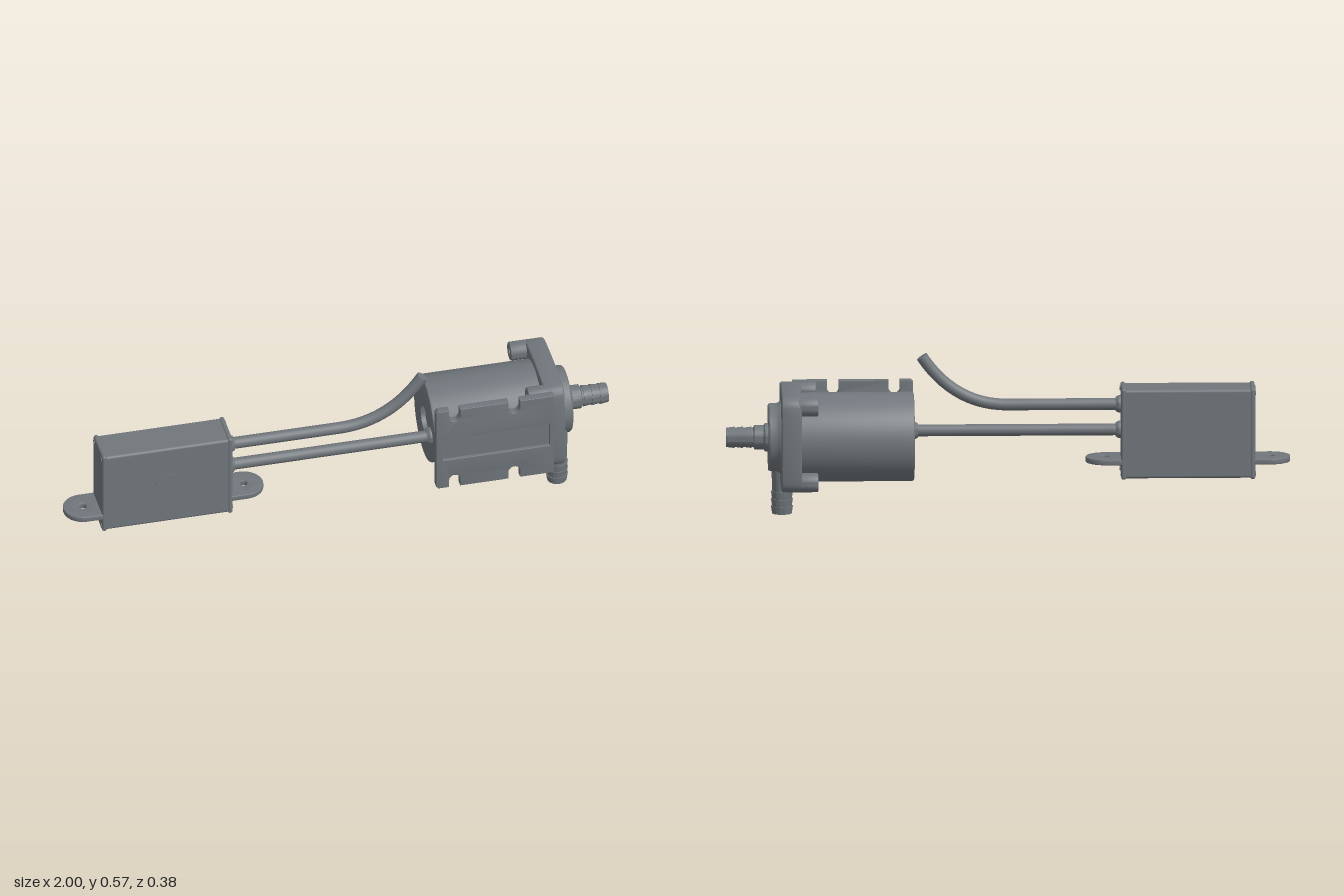
import * as THREE from 'three';
import { toCreasedNormals } from 'three/addons/utils/BufferGeometryUtils.js';
import { RoundedBoxGeometry } from 'three/addons/geometries/RoundedBoxGeometry.js';

const AXIS_Y = 0.29, AXIS_Z = -0.008, WIRE_Z = 0.095;
const darkGrey = new THREE.MeshStandardMaterial({ color: 0x70767b });

function add(parent, name, geometry, x = 0, y = 0, z = 0) {
  const mesh = new THREE.Mesh(geometry, darkGrey);
  mesh.name = name;
  mesh.position.set(x, y, z);
  parent.add(mesh);
  return mesh;
}

// Profile of [radius, height] turned round y, with sharp edges kept
function turned(profile, segments = 48) {
  const pts = profile.map(([r, h]) => new THREE.Vector2(r, h));
  return toCreasedNormals(new THREE.LatheGeometry(pts, segments), 0.5);
}
const turnedX = (profile, segments) => turned(profile, segments).rotateZ(-Math.PI / 2);

// Extrusion whose bevel stays inside the outline
function extruded(shape, depth, bevel) {
  return toCreasedNormals(new THREE.ExtrudeGeometry(shape, {
    depth: depth - 2 * bevel, bevelThickness: bevel, bevelSize: bevel,
    bevelOffset: -bevel, bevelSegments: 3, curveSegments: 16,
  }).translate(0, 0, bevel), 0.5);
}
const extrudedX = (shape, depth, bevel) => extruded(shape, depth, bevel).rotateY(Math.PI / 2);

const circle = (Type, x, y, r) => new Type().absarc(x, y, r, 0, Math.PI * 2);

// Hose barbs: each ridge starts wide and narrows toward the tip
function barbs(start, end, count, wide, narrow) {
  const step = (end - start) / count, pts = [];
  for (let i = 0; i < count; i++) {
    pts.push([wide, start + i * step], [narrow, start + (i + 1) * step]);
  }
  return pts;
}

function controlBox() {
  const g = new THREE.Group();
  g.name = 'controlBox';
  const cy = 0.286, cz = 0.09;
  add(g, 'housing', new RoundedBoxGeometry(0.46, 0.32, 0.138, 3, 0.01), -0.6375, cy, cz);
  add(g, 'button', turned([[0, 0], [0.047, 0], [0.047, 0.004], [0, 0.004]]).rotateX(Math.PI / 2),
    -0.637, cy, cz + 0.067);

  for (const side of [-1, 1]) {
    const end = side < 0 ? -0.875 : -0.4;
    add(g, 'endPlate', new RoundedBoxGeometry(0.018, 0.328, 0.142, 3, 0.008), end - side * 0.009, cy, cz);
    for (const sy of [-1, 1]) for (const sz of [-1, 1]) {
      add(g, 'plateScrew', new THREE.CylinderGeometry(0.008, 0.008, 0.005, 16).rotateZ(Math.PI / 2),
        end, cy + sy * 0.145, cz + sz * 0.053);
    }
    // Mounting tab with a rounded end and a bolt hole
    const tab = new THREE.Shape();
    tab.moveTo(-0.012, -0.07).lineTo(0.055, -0.07);
    tab.absarc(0.055, 0, 0.07, -Math.PI / 2, Math.PI / 2);
    tab.lineTo(-0.012, 0.07);
    tab.holes.push(circle(THREE.Path, 0.055, 0, 0.013));
    const mesh = add(g, 'mountingTab', extruded(tab, 0.02, 0.003).rotateX(Math.PI / 2), end, 0.195, cz);
    if (side < 0) mesh.rotation.y = Math.PI;
  }
  return g;
}

function wires() {
  const g = new THREE.Group();
  g.name = 'wires';
  const V = (x, y) => new THREE.Vector3(x, y, WIRE_Z);
  const loose = new THREE.CurvePath();
  loose.add(new THREE.LineCurve3(V(-0.41, 0.382), V(0, 0.382)));
  loose.add(new THREE.CubicBezierCurve3(V(0, 0.382), V(0.13, 0.382), V(0.23, 0.445), V(0.304, 0.557)));
  add(g, 'looseWire', new THREE.TubeGeometry(loose, 64, 0.021, 20));
  const cap = add(g, 'looseWireEnd', new THREE.CircleGeometry(0.021, 20), 0.304, 0.557, WIRE_Z);
  cap.lookAt(V(0.304 + 0.074, 0.557 + 0.112));
  add(g, 'motorWire', new THREE.CylinderGeometry(0.021, 0.021, 0.75, 20).rotateZ(Math.PI / 2), -0.035, AXIS_Y, WIRE_Z);

  const grommet = [[0, 0], [0.031, 0], [0.031, 0.01], [0.025, 0.02], [0, 0.02]];
  for (const y of [AXIS_Y, 0.382]) add(g, 'boxGrommet', turnedX(grommet, 24), -0.402, y, WIRE_Z);
  add(g, 'motorGrommet', turnedX(grommet, 24).rotateY(Math.PI), 0.338, AXIS_Y, WIRE_Z);
  return g;
}

function pump() {
  const g = new THREE.Group();
  g.name = 'pump';
  g.position.set(0, AXIS_Y, AXIS_Z);

  // Motor can with a recess and bearing ring in its rear face
  add(g, 'motorCan', turnedX([[0, 0.365], [0.05, 0.365], [0.05, 0.335], [0.151, 0.335], [0.156, 0.337],
    [0.158, 0.343], [0.158, 0.74], [0, 0.74]], 64));
  add(g, 'rearBearing', turnedX([[0, 0.36], [0.018, 0.36], [0.018, 0.348], [0.032, 0.348], [0.032, 0.368]], 32));

  // Bulged square flange with four countersunk holes
  const e = 0.135, c = 0.173, k = 0.156, m = 0.187, bolt = 0.137;
  const outline = new THREE.Shape();
  outline.moveTo(-e, -c);
  for (let i = 0; i < 4; i++) {
    const a = i * Math.PI / 2, cos = Math.cos(a), sin = Math.sin(a);
    const p = (x, y) => [x * cos - y * sin, x * sin + y * cos];
    outline.quadraticCurveTo(...p(0, -m), ...p(e, -c));
    outline.bezierCurveTo(...p(k, -0.17), ...p(0.17, -k), ...p(c, -e));
  }
  for (const sy of [-1, 1]) for (const sz of [-1, 1]) {
    outline.holes.push(circle(THREE.Path, sz * bolt, sy * bolt, 0.012));
    const boss = circle(THREE.Shape, 0, 0, 0.034);
    boss.holes.push(circle(THREE.Path, 0, 0, 0.012));
    add(g, 'flangeBoss', extrudedX(boss, 0.075, 0.005), 0.677, sy * bolt, sz * bolt);
    // Screws fill the two holes on the bracket side
    if (sz > 0) {
      add(g, 'flangeScrew', new THREE.CylinderGeometry(0.0125, 0.0125, 0.1, 20).rotateZ(Math.PI / 2),
        0.735, sy * bolt, bolt);
    }
  }
  add(g, 'flange', extrudedX(outline, 0.072, 0.009), 0.735);

  // Pump cover running into the barbed inlet, which is bored out
  add(g, 'coverAndInlet', turnedX([[0.13, 0.8], [0.128, 0.81], [0.123, 0.816], [0.12, 0.824], [0.12, 0.846],
    [0.116, 0.851], [0.051, 0.851], [0.05, 0.862], [0.043, 0.868], [0.043, 0.9], [0.034, 0.904],
    [0.034, 0.91], ...barbs(0.91, 1, 3, 0.038, 0.034), [0.029, 1], [0.029, 0.92], [0, 0.92]], 64));
  for (const turn of [0, 1]) {
    add(g, 'inletSpoke', new THREE.BoxGeometry(0.04, 0.058, 0.007), 0.938).rotation.x = turn * Math.PI / 2;
  }
  add(g, 'inletCone', new THREE.ConeGeometry(0.014, 0.03, 24).rotateZ(-Math.PI / 2), 0.972);

  // Outlet leaving the cover downward, off to the front
  add(g, 'outlet', turned([[0, 0], [0.038, 0], [0.038, 0.1], [0.035, 0.2], [0.034, 0.21],
    ...barbs(0.21, 0.29, 3, 0.039, 0.035), [0.029, 0.29], [0.029, 0.22], [0, 0.22]]).rotateX(Math.PI),
  0.8, 0, 0.076);
  return g;
}

function bracket() {
  const g = new THREE.Group();
  g.name = 'bracket';
  const half = 0.168, depth = 0.05, x0 = 0.333, x1 = 0.762;
  const notches = [[0.38, 0.42], [0.596, 0.638]];

  // Plate outline: notches along both long edges
  const plate = new THREE.Shape();
  plate.moveTo(x0, -half + 0.008).lineTo(x0 + 0.008, -half);
  for (const [a, b] of notches) {
    const r = (b - a) / 2;
    plate.lineTo(a, -half).lineTo(a, -half + depth - r);
    plate.absarc(a + r, -half + depth - r, r, Math.PI, 0, true);
    plate.lineTo(b, -half);
  }
  plate.lineTo(x1, -half).lineTo(x1, half);
  for (const [a, b] of [...notches].reverse()) {
    const r = (b - a) / 2;
    plate.lineTo(b, half).lineTo(b, half - depth + r);
    plate.absarc(a + r, half - depth + r, r, 0, Math.PI, true);
    plate.lineTo(a, half);
  }
  plate.lineTo(x0 + 0.008, half).lineTo(x0, half - 0.008);
  plate.closePath();
  // Long shallow groove down the middle
  plate.holes.push(new THREE.Path([[0.357, -0.048], [0.357, 0.048], [0.746, 0.048], [0.746, -0.048]]
    .map(([x, y]) => new THREE.Vector2(x, y))));
  add(g, 'mountingPlate', extruded(plate, 0.03, 0.002), 0, AXIS_Y, 0.159);
  add(g, 'grooveFloor', new THREE.BoxGeometry(0.4, 0.106, 0.014), 0.55, AXIS_Y, 0.169);
  add(g, 'saddle', new THREE.BoxGeometry(0.385, 0.12, 0.09), 0.535, AXIS_Y, 0.12);
  return g;
}

export function createModel() {
  const model = new THREE.Group();
  model.name = 'pumpWithController';
  model.add(controlBox(), wires(), pump(), bracket());
  return model;
}
